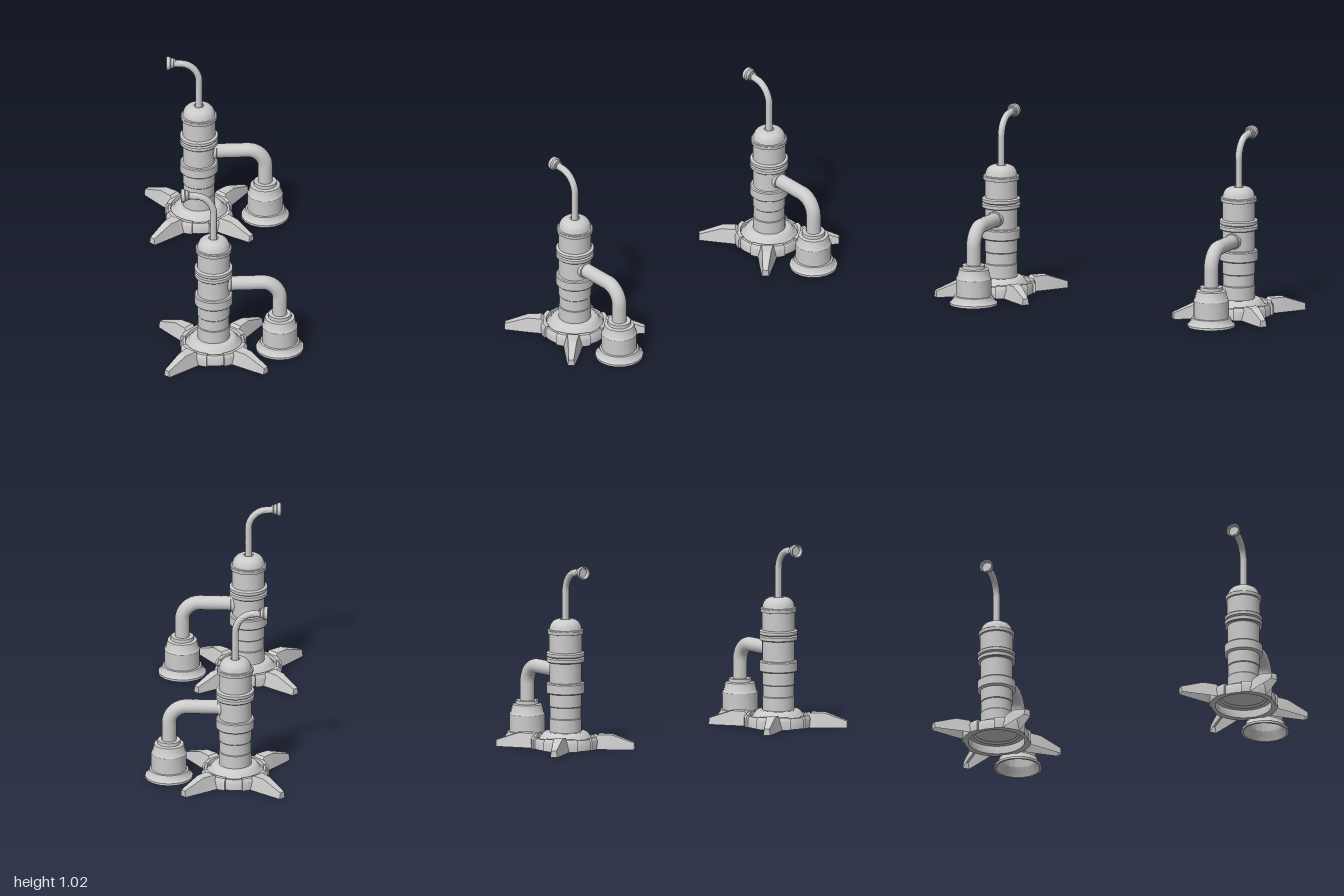
import * as THREE from 'three';
import { toCreasedNormals } from 'three/addons/utils/BufferGeometryUtils.js';

const AXIS_X = -0.106; // column axis
const BELL_X = 0.257; // intake bell axis
const mat = new THREE.MeshStandardMaterial({ color: 0xcccccc, side: THREE.DoubleSide });
const pts = (list) => list.map(([x, y]) => new THREE.Vector2(x, y));

function part(name, geo, x = 0, y = 0, crease = 0.55) {
  const mesh = new THREE.Mesh(toCreasedNormals(geo, crease), mat);
  mesh.name = name;
  mesh.position.set(x, y, 0);
  return mesh;
}

const lathe = (profile, sides) => new THREE.LatheGeometry(pts(profile), sides);

// Pipe that runs straight, turns through a quarter bend, and runs straight again
function pipe(a, b, corner, c, d, radius) {
  const v = ([x, y]) => new THREE.Vector3(x, y, 0);
  const k = 0.552;
  const path = new THREE.CurvePath();
  path.add(new THREE.LineCurve3(v(a), v(b)));
  path.add(new THREE.CubicBezierCurve3(v(b), v(b).lerp(v(corner), k), v(c).lerp(v(corner), k), v(c)));
  path.add(new THREE.LineCurve3(v(c), v(d)));
  return new THREE.TubeGeometry(path, 40, radius, 16, false);
}

// Ring sector with closed ends, swept from a cross-section
function ringSector(name, section, mid, span) {
  const group = new THREE.Group();
  group.name = name;
  const start = mid - span / 2;
  group.add(part(name + 'Body', new THREE.LatheGeometry(pts([...section, section[0]]), 6, start, span)));
  for (const phi of [start, start + span]) {
    const cap = part(name + 'End', new THREE.ShapeGeometry(new THREE.Shape(pts(section))));
    cap.rotation.y = phi - Math.PI / 2;
    group.add(cap);
  }
  return group;
}

// Tapered foot, open underneath, built from four cross-sections along +x
function footGeometry() {
  const sections = [ // distance, half width at floor, half width on top, height
    [0.165, 0.055, 0.036, 0.062],
    [0.185, 0.051, 0.032, 0.08],
    [0.258, 0.041, 0.024, 0.08],
    [0.384, 0.02, 0.014, 0.036],
  ];
  const pos = [];
  const index = [];
  for (const [r, low, top, h] of sections) {
    pos.push(r, 0, low, r, h, top, r, h, -top, r, 0, -low);
  }
  for (let s = 0; s < 3; s++) {
    for (let i = 0; i < 3; i++) {
      const a = s * 4 + i, b = a + 4;
      index.push(a, b, b + 1, a, b + 1, a + 1);
    }
  }
  index.push(12, 15, 14, 12, 14, 13); // blunt tip
  const geo = new THREE.BufferGeometry();
  geo.setAttribute('position', new THREE.Float32BufferAttribute(pos, 3));
  geo.setIndex(index);
  return geo;
}

function createBase() {
  const base = new THREE.Group();
  base.name = 'base';
  base.position.x = AXIS_X;
  const block = [[0.155, 0], [0.189, 0], [0.189, 0.05], [0.179, 0.067], [0.158, 0.067], [0.155, 0.06]];
  const link = [[0.155, 0], [0.177, 0], [0.177, 0.044], [0.168, 0.06], [0.155, 0.06]];
  const foot = footGeometry();
  for (let i = 0; i < 4; i++) {
    const diagonal = Math.PI / 4 + i * Math.PI / 2;
    base.add(ringSector('ringBlock', block, diagonal, Math.PI / 3));
    base.add(ringSector('ringLink', link, diagonal + Math.PI / 4, Math.PI / 6));
    const leg = part('foot', foot, 0, 0, 0.2);
    leg.rotation.y = diagonal;
    base.add(leg);
  }
  // Collar that carries the column
  base.add(part('collar', lathe([
    [0, 0.055], [0.12, 0.055], [0.13, 0.045], [0.158, 0.045], [0.142, 0.058],
    [0.135, 0.07], [0.12, 0.087], [0.112, 0.091], [0.086, 0.091],
  ], 32)));
  return base;
}

function createColumn() {
  return part('column', lathe([
    [0.089, 0.08], [0.089, 0.163], [0.086, 0.167], [0.086, 0.228], [0.089, 0.232], [0.089, 0.3],
    [0.1, 0.302], [0.105, 0.307], [0.105, 0.355], [0.1, 0.361], [0.089, 0.363], // lower band
    [0.089, 0.473], [0.101, 0.475], [0.105, 0.479], [0.105, 0.497], [0.101, 0.501], // double band
    [0.096, 0.503], [0.101, 0.506], [0.105, 0.51], [0.105, 0.526], [0.101, 0.53], [0.09, 0.532],
    [0.09, 0.63], [0.099, 0.632], [0.1, 0.636], [0.1, 0.65], [0.097, 0.654], [0.089, 0.656], // top band
    [0.087, 0.67], [0.08, 0.687], [0.069, 0.7], [0.056, 0.708], [0.042, 0.712], // dome
    [0.027, 0.712], [0.024, 0.706], [0, 0.706],
  ], 32), AXIS_X);
}

function createSpout() {
  const spout = new THREE.Group();
  spout.name = 'spout';
  spout.add(part('spoutPipe',
    pipe([AXIS_X, 0.7], [AXIS_X, 0.865], [AXIS_X, 0.983], [-0.215, 0.98], [-0.25, 0.985], 0.019), 0, 0, 1));
  const nozzle = part('nozzle', lathe([
    [0.018, 0], [0.025, 0.001], [0.025, 0.008], [0.022, 0.01], [0.028, 0.012], [0.03, 0.025],
    [0.037, 0.031], [0.037, 0.05], [0.031, 0.05], [0.027, 0.03], [0, 0.028],
  ], 16), -0.235, 0.985);
  nozzle.rotation.z = Math.PI / 2;
  spout.add(nozzle);
  return spout;
}

function createIntake() {
  const intake = new THREE.Group();
  intake.name = 'intake';
  intake.add(part('intakePipe',
    pipe([-0.08, 0.42], [0.16, 0.42], [BELL_X, 0.42], [BELL_X, 0.32], [BELL_X, 0.21], 0.04), 0, 0, 1));
  // Flared joint where the pipe meets the column
  const joint = part('joint', lathe([[0.052, 0], [0.048, 0.046], [0.045, 0.062], [0.04, 0.064]], 16), -0.074, 0.42);
  joint.rotation.z = -Math.PI / 2;
  intake.add(joint);
  // Hollow bell standing on the floor
  intake.add(part('bell', lathe([
    [0.12, 0], [0.132, 0], [0.132, 0.012], [0.123, 0.017], [0.112, 0.035], [0.108, 0.049], [0.098, 0.051],
    [0.098, 0.145], [0.091, 0.155], [0.082, 0.198], [0.064, 0.202], [0.063, 0.221], [0.038, 0.221],
  ], 18), BELL_X));
  intake.add(part('bellLining', lathe([
    [0.12, 0], [0.104, 0.035], [0.094, 0.052], [0.094, 0.143], [0.078, 0.193], [0, 0.195],
  ], 18), BELL_X));
  return intake;
}

export function createModel() {
  const model = new THREE.Group();
  model.name = 'pumpPair';
  for (const z of [0.715, -0.715]) {
    const pump = new THREE.Group();
    pump.name = z > 0 ? 'frontPump' : 'backPump';
    pump.add(createBase(), createColumn(), createSpout(), createIntake());
    pump.position.z = z;
    model.add(pump);
  }
  return model;
}
